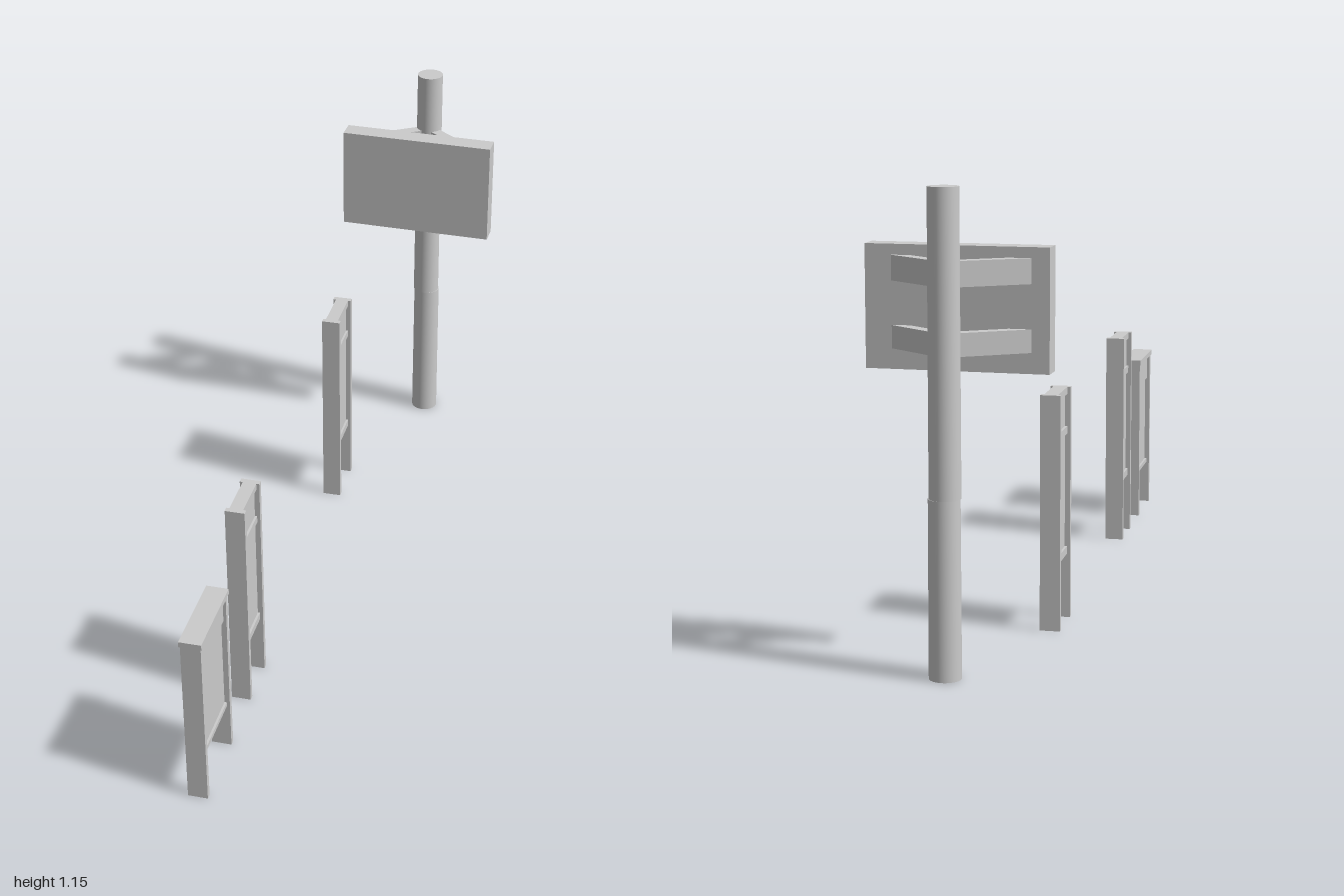
import * as THREE from 'three';

const material = new THREE.MeshStandardMaterial({ color: 0xcccccc });

function add(parent, name, geometry, x, y, z) {
  const mesh = new THREE.Mesh(geometry, material);
  mesh.name = name;
  mesh.position.set(x, y, z);
  parent.add(mesh);
  return mesh;
}

// Box given by its bottom and top heights
function slab(parent, name, width, bottom, top, depth, z = 0) {
  return add(parent, name, new THREE.BoxGeometry(width, top - bottom, depth), 0, (bottom + top) / 2, z);
}

// Two-legged stand: thin recessed panels held between rails; rails are [bottom, top] pairs
function createStand(name, length, height, rails) {
  const stand = new THREE.Group();
  stand.name = name;
  const legDepth = 0.015;
  const inner = length - 2 * legDepth;
  for (const side of [-1, 1]) {
    slab(stand, 'leg', 0.052, 0, height, legDepth, side * (length - legDepth) / 2);
  }
  slab(stand, 'panel', 0.024, rails[0][0], height - 0.002, inner);
  for (const [bottom, top] of rails) slab(stand, 'rail', 0.036, bottom, top, inner);
  return stand;
}

export function createModel() {
  const model = new THREE.Group();
  model.name = 'roadsideSigns';

  // Round post in two nearly equal lengths
  const postZ = -0.96;
  add(model, 'lowerPost', new THREE.CylinderGeometry(0.038, 0.039, 0.43, 32), 0.007, 0.215, postZ);
  add(model, 'upperPost', new THREE.CylinderGeometry(0.037, 0.038, 0.72, 32), 0.005, 0.79, postZ);

  // Sign board, turned slightly
  const board = add(model, 'signBoard', new THREE.BoxGeometry(0.444, 0.295, 0.057), 0, 0.858, -0.826);
  board.rotation.y = -0.03;

  // Splayed brackets from post to board
  for (const [bottom, top] of [[0.76, 0.815], [0.92, 0.98]]) {
    for (const endX of [-0.178, 0.148]) {
      const start = new THREE.Vector2(0.004, -0.955);
      const end = new THREE.Vector2(endX, -0.842);
      const span = end.clone().sub(start);
      const bracket = add(model, 'bracket',
        new THREE.BoxGeometry(span.length(), top - bottom, 0.03),
        (start.x + end.x) / 2, (bottom + top) / 2, (start.y + end.y) / 2);
      bracket.rotation.y = -Math.atan2(span.y, span.x);
    }
  }

  // Two tall narrow stands
  for (const z of [0.53, -0.455]) {
    const stand = createStand('tallStand', 0.15, 0.603, [[0.168, 0.188], [0.483, 0.502], [0.585, 0.603]]);
    stand.position.set(-0.157, 0, z);
    model.add(stand);
  }

  // Low wide stand with a cap
  const lowStand = createStand('lowStand', 0.223, 0.475, [[0.128, 0.14], [0.402, 0.475]]);
  slab(lowStand, 'cap', 0.058, 0.475, 0.49, 0.23);
  lowStand.position.set(-0.156, 0, 0.885);
  model.add(lowStand);

  return model;
}
